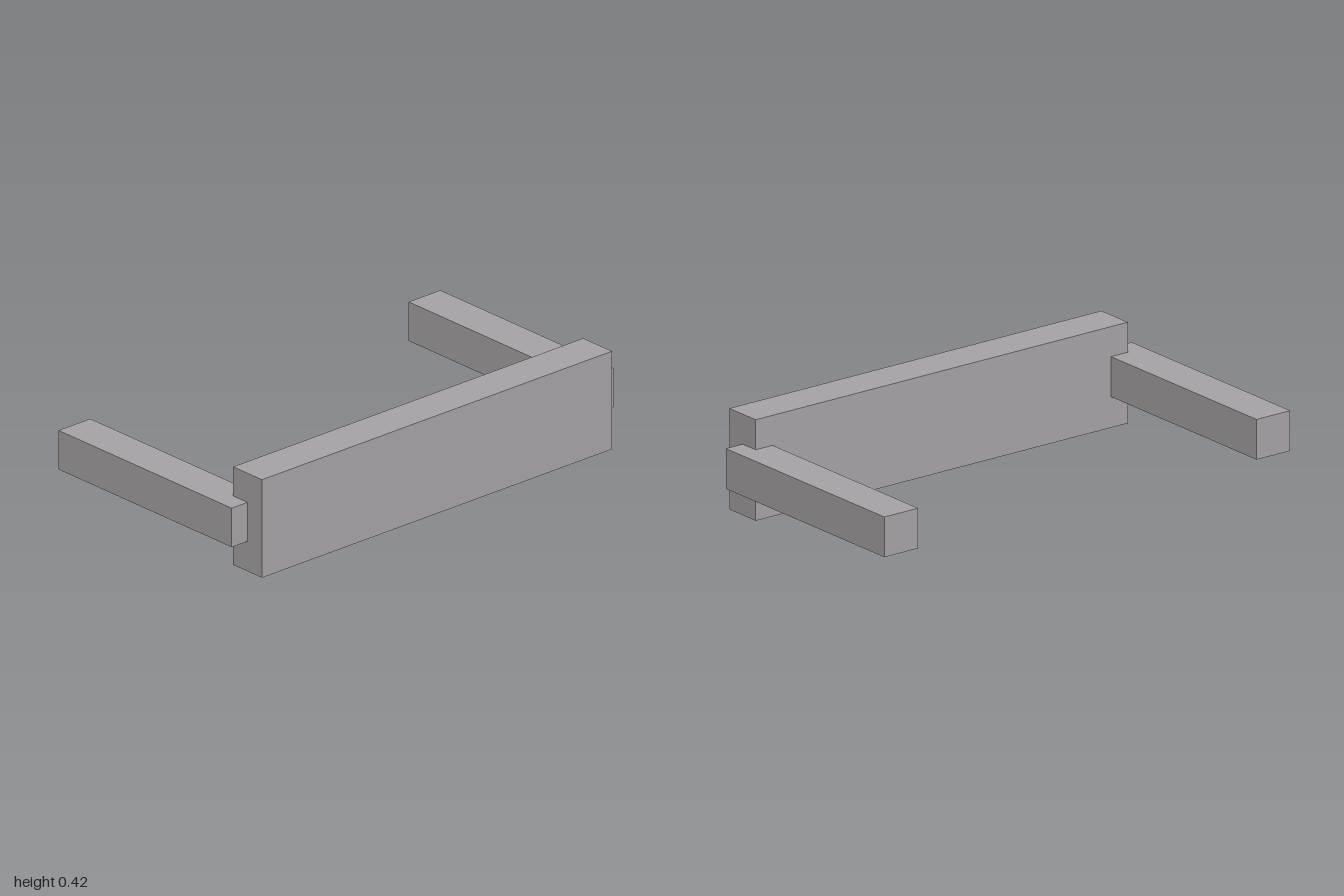
import * as THREE from 'three';

export function createModel() {
  const group = new THREE.Group();
  const grey = new THREE.MeshStandardMaterial({ color: 0xa8a3a6 });
  grey.name = 'warm grey';

  const addBox = (name, size, position) => {
    const mesh = new THREE.Mesh(new THREE.BoxGeometry(...size), grey);
    mesh.name = name;
    mesh.position.set(...position);
    group.add(mesh);
  };

  // Wide upright beam across the front
  addBox('frontBeam', [1.834, 0.417, 0.167], [0, 0.2085, 0.46]);

  // Mirrored arms reaching back, their front ends set into the beam
  for (const [name, side] of [['leftArm', 1], ['rightArm', -1]]) {
    addBox(name, [0.166, 0.166, 1.003], [side * 0.917, 0.21, -0.042]);
  }

  return group;
}
